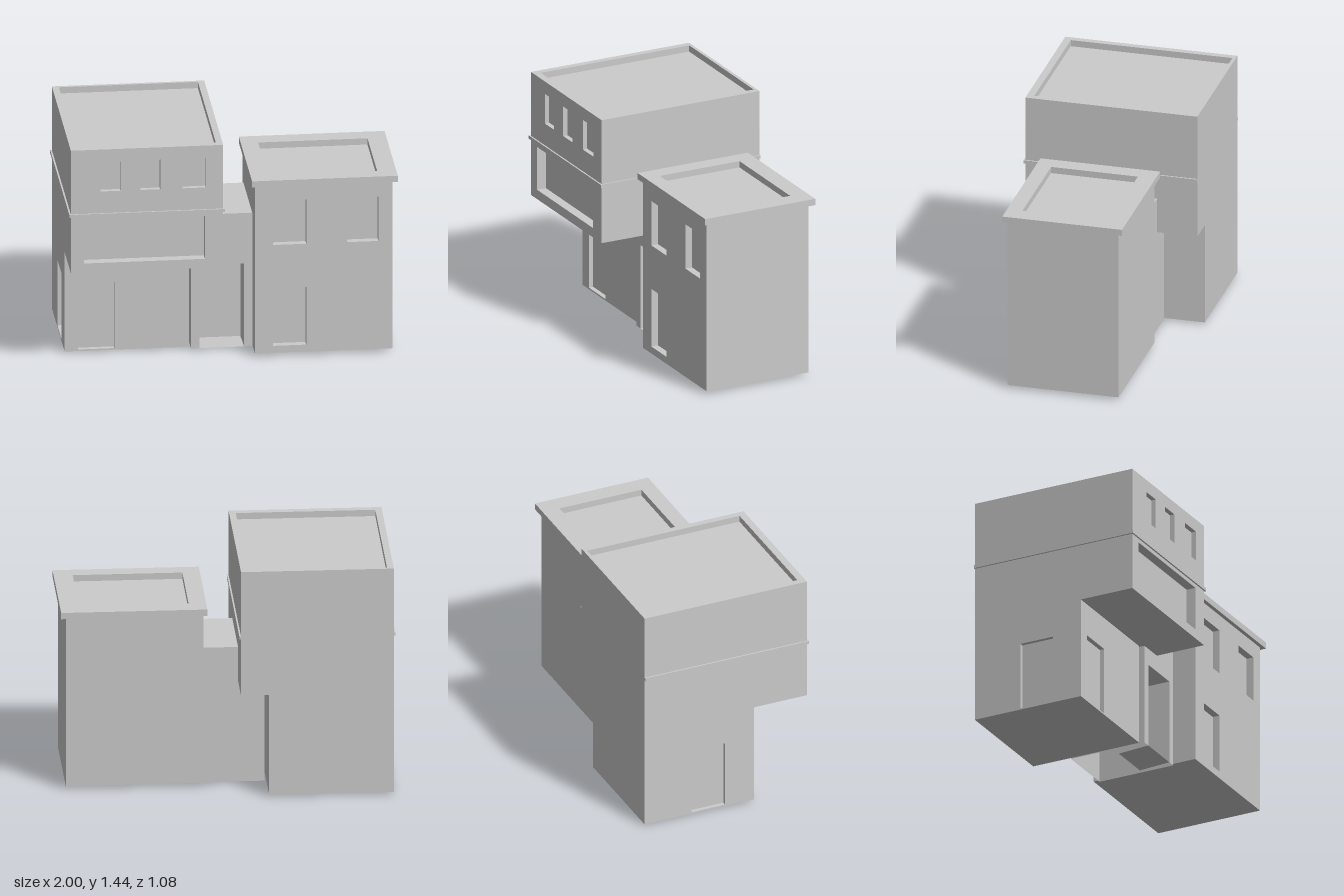
import * as THREE from 'three';

const grey = new THREE.MeshStandardMaterial({ color: 0xcccccc, flatShading: true });
const thin = new THREE.MeshStandardMaterial({ color: 0xcccccc, flatShading: true, side: THREE.DoubleSide });

function add(group, name, geometry, material = grey) {
  const mesh = new THREE.Mesh(geometry, material);
  mesh.name = name;
  group.add(mesh);
  return mesh;
}

// Box given by its limits on each axis
function block(group, name, [x0, x1], [y0, y1], [z0, z1]) {
  const g = new THREE.BoxGeometry(x1 - x0, y1 - y0, z1 - z0);
  g.translate((x0 + x1) / 2, (y0 + y1) / 2, (z0 + z1) / 2);
  return add(group, name, g);
}

function trace(path, [u0, u1], [v0, v1]) {
  path.moveTo(u0, v0);
  path.lineTo(u1, v0);
  path.lineTo(u1, v1);
  path.lineTo(u0, v1);
  path.closePath();
  return path;
}

// Rectangular slab with rectangular openings, extruded along +z from z = 0
function pierced(u, v, depth, openings) {
  const shape = trace(new THREE.Shape(), u, v);
  for (const [hu, hv] of openings) shape.holes.push(trace(new THREE.Path(), hu, hv));
  return new THREE.ExtrudeGeometry(shape, { depth, bevelEnabled: false });
}

// Front wall whose openings are recessed by depth
function facade(group, name, x, y, zFront, depth, openings) {
  add(group, name, pierced(x, y, depth, openings).translate(0, 0, zFront - depth));
}

// Raised roof edge around a sunken roof
function parapet(group, name, x, z, [y0, y1], innerX, innerZ) {
  const flip = ([a, b]) => [-b, -a];
  const g = pierced(x, flip(z), y1 - y0, [[innerX, flip(innerZ)]]);
  add(group, name, g.rotateX(-Math.PI / 2).translate(0, y0, 0));
}

// Four-cornered panel
function quad(group, name, a, b, c, d) {
  const g = new THREE.BufferGeometry();
  g.setAttribute('position', new THREE.Float32BufferAttribute([...a, ...b, ...c, ...a, ...c, ...d], 3));
  g.computeVertexNormals();
  add(group, name, g, thin);
}

function overhangingBuilding() {
  const g = new THREE.Group();
  g.name = 'overhangingBuilding';

  // Ground storey, set back at the front, with a recess in the front and in the outer side
  block(g, 'groundStorey', [-0.965, -0.24], [0.01, 0.65], [-0.54, 0.15]);
  facade(g, 'groundFrontWall', [-0.99, -0.24], [0.01, 0.65], 0.18, 0.03, [[[-0.91, -0.69], [0.02, 0.445]]]);
  const side = pierced([-0.54, 0.15], [0.01, 0.65], 0.025, [[[-0.23, -0.01], [0.02, 0.445]]]);
  add(g, 'groundSideWall', side.rotateY(-Math.PI / 2).translate(-0.965, 0, 0));

  // Middle storey with one wide window
  const x = [-0.99, -0.07];
  block(g, 'middleStorey', x, [0.65, 1.02], [-0.54, 0.47]);
  facade(g, 'middleFrontWall', x, [0.65, 1.02], 0.53, 0.06, [[[-0.91, -0.18], [0.71, 0.985]]]);

  // Top storey with three small windows
  block(g, 'topStorey', x, [1.02, 1.4], [-0.54, 0.5]);
  const windows = [[-0.81, -0.69], [-0.57, -0.45], [-0.315, -0.175]].map((w) => [w, [1.17, 1.36]]);
  facade(g, 'topFrontWall', x, [1.02, 1.4], 0.53, 0.03, windows);

  block(g, 'ledge', [-1, -0.06], [1.01, 1.03], [-0.54, 0.54]);
  parapet(g, 'parapet', x, [-0.54, 0.53], [1.4, 1.44], [-0.95, -0.11], [-0.52, 0.485]);
  return g;
}

function plainBuilding() {
  const g = new THREE.Group();
  g.name = 'plainBuilding';
  const x = [0.14, 0.97];
  block(g, 'body', x, [0.02, 1.1], [-0.33, 0.315]);
  facade(g, 'frontWall', x, [0.02, 1.1], 0.36, 0.045, [
    [[0.25, 0.45], [0.715, 1.0]],
    [[0.695, 0.885], [0.715, 1.0]],
    [[0.25, 0.45], [0.065, 0.435]],
  ]);
  parapet(g, 'roofRim', [0.12, 1.0], [-0.36, 0.385], [1.1, 1.14], [0.225, 0.885], [-0.25, 0.29]);
  return g;
}

// Link between the buildings: a shell open underneath, with a deep doorway
function connector() {
  const g = new THREE.Group();
  g.name = 'connector';
  const [x0, x1, y0, y1, z0, z1] = [-0.23, 0.14, 0.01, 0.87, -0.29, 0.21];
  const [d0, d1, top, zIn, yIn] = [-0.18, 0.09, 0.545, 0.01, 0.0];

  const outline = [[x0, y0], [d0, y0], [d0, top], [d1, top], [d1, y0], [x1, y0], [x1, y1], [x0, y1]];
  const front = new THREE.Shape(outline.map(([x, y]) => new THREE.Vector2(x, y)));
  add(g, 'connectorFront', new THREE.ShapeGeometry(front).translate(0, 0, z1), thin);
  quad(g, 'connectorBack', [x1, y0, z0], [x0, y0, z0], [x0, y1, z0], [x1, y1, z0]);
  quad(g, 'connectorRoof', [x0, y1, z1], [x1, y1, z1], [x1, y1, z0], [x0, y1, z0]);
  quad(g, 'connectorLeftEnd', [x1, y0, z1], [x1, y0, z0], [x1, y1, z0], [x1, y1, z1]);
  quad(g, 'connectorRightEnd', [x0, y0, z0], [x0, y0, z1], [x0, y1, z1], [x0, y1, z0]);

  // Doorway lining, its floor sloping down towards the door
  quad(g, 'door', [d0, yIn, zIn], [d1, yIn, zIn], [d1, top, zIn], [d0, top, zIn]);
  quad(g, 'doorwayFloor', [d0, y0, z1], [d1, y0, z1], [d1, yIn, zIn], [d0, yIn, zIn]);
  quad(g, 'doorwayCeiling', [d0, top, zIn], [d1, top, zIn], [d1, top, z1], [d0, top, z1]);
  quad(g, 'doorwayRightJamb', [d0, y0, z1], [d0, yIn, zIn], [d0, top, zIn], [d0, top, z1]);
  quad(g, 'doorwayLeftJamb', [d1, yIn, zIn], [d1, y0, z1], [d1, top, z1], [d1, top, zIn]);
  return g;
}

export function createModel() {
  const model = new THREE.Group();
  model.name = 'houses';
  model.add(overhangingBuilding(), connector(), plainBuilding());
  return model;
}
